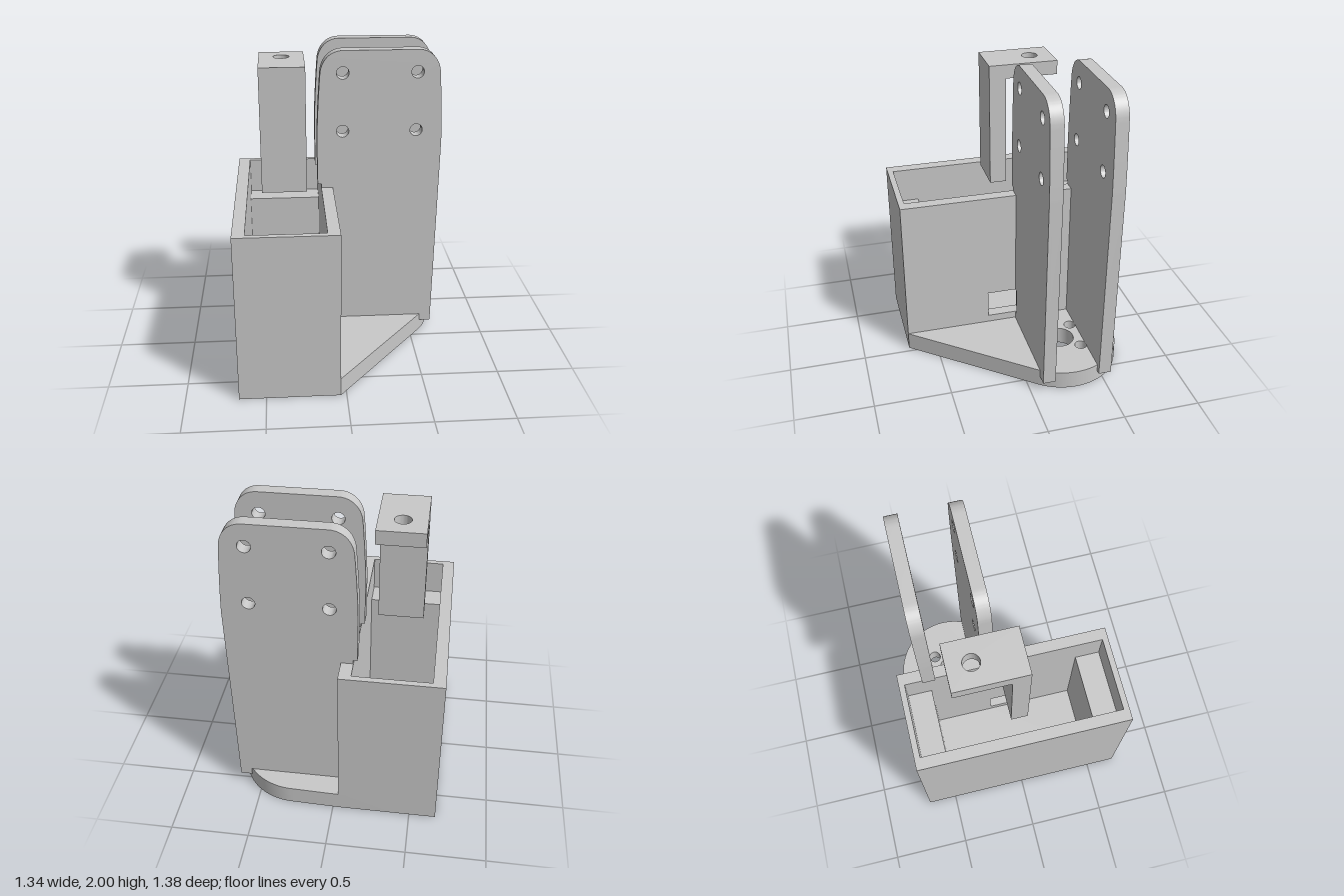
import * as THREE from 'three';
import { toCreasedNormals } from 'three/addons/utils/BufferGeometryUtils.js';

const grey = new THREE.MeshStandardMaterial({ color: 0xc8c8c8 });
grey.name = 'light grey';

const circle = (x, y, r) => new THREE.Path().absarc(x, y, r, 0, Math.PI * 2, false);

const poly = (pts) => new THREE.Shape(pts.map(([x, y]) => new THREE.Vector2(x, y)));

function extrude(shape, depth) {
  const g = new THREE.ExtrudeGeometry(shape, { depth, bevelEnabled: false, curveSegments: 24 });
  return toCreasedNormals(g, 0.5);
}

// Plan shapes are drawn as (x, -z) and rise from y0 to y1
const upright = (shape, y0, y1) => extrude(shape, y1 - y0).rotateX(-Math.PI / 2).translate(0, y0, 0);

// Box given by its limits
const block = (x0, x1, y0, y1, z0, z1) =>
  new THREE.BoxGeometry(x1 - x0, y1 - y0, z1 - z0).translate((x0 + x1) / 2, (y0 + y1) / 2, (z0 + z1) / 2);

// Outline of a tall side plate, optionally notched beside the cable opening
function plateShape(notched) {
  const s = new THREE.Shape();
  s.moveTo(-0.11, 0.12);
  if (notched) {
    s.lineTo(-0.11, 0.17);
    s.lineTo(-0.009, 0.17);
    s.lineTo(-0.009, 0.357);
    s.lineTo(-0.11, 0.357);
  }
  s.lineTo(-0.11, 1.12);
  s.lineTo(-0.135, 1.12);
  s.lineTo(-0.138, 1.4);
  s.quadraticCurveTo(-0.135, 1.6, -0.115, 1.86);
  s.bezierCurveTo(-0.105, 1.94, -0.05, 2, 0.03, 2);
  s.lineTo(0.503, 2);
  s.bezierCurveTo(0.583, 2, 0.638, 1.94, 0.647, 1.86);
  s.quadraticCurveTo(0.666, 1.6, 0.67, 1.4);
  s.lineTo(0.647, 0.072);
  s.lineTo(0.572, 0.072);
  s.lineTo(0.572, 0.12);
  s.closePath();
  for (const x of [0.028, 0.503]) for (const y of [1.478, 1.858]) s.holes.push(circle(x, y, 0.04));
  return s;
}

export function createModel() {
  const model = new THREE.Group();
  model.name = 'mountingBracket';
  const add = (name, geometry) => {
    const mesh = new THREE.Mesh(geometry, grey);
    mesh.name = name;
    model.add(mesh);
  };

  // Base plate with a rounded end, centre bore and four screw holes
  const cx = 0.266, cy = 0.301;
  const base = new THREE.Shape();
  base.moveTo(-0.67, -0.69);
  base.lineTo(-0.036, -0.69);
  base.absarc(cx, cy, 0.38, -0.67, Math.PI / 2, false);
  base.lineTo(-0.036, 0.69);
  base.lineTo(-0.67, 0.69);
  base.closePath();
  base.holes.push(circle(cx, cy, 0.1));
  for (const dx of [-0.118, 0.118]) for (const dy of [-0.118, 0.118]) base.holes.push(circle(cx + dx, cy + dy, 0.04));
  add('basePlate', upright(base, 0, 0.12));

  // Open box: three walls, then the inner wall with its cable opening
  add('boxWalls', upright(poly([
    [-0.67, -0.69], [-0.036, -0.69], [-0.036, -0.652], [-0.593, -0.652],
    [-0.593, 0.652], [-0.036, 0.652], [-0.036, 0.69], [-0.67, 0.69],
  ]), 0.12, 1.095));
  const wall = poly([[-0.652, 0.12], [0.652, 0.12], [0.652, 1.095], [-0.652, 1.095]]);
  wall.holes.push(poly([[-0.12, 0.17], [-0.12, 0.357], [0.1, 0.357], [0.1, 0.17]]));
  add('boxInnerWall', extrude(wall, 0.076).rotateY(Math.PI / 2).translate(-0.112, 0, 0));

  // Support ledges at both ends inside the box
  add('frontLedge', block(-0.593, -0.112, 0.12, 0.86, 0.49, 0.652));
  add('backLedge', block(-0.593, -0.112, 0.12, 0.86, -0.652, -0.493));

  // Side plates; the front one is recessed next to the opening
  add('frontPlateFace', extrude(plateShape(true), 0.025).translate(0, 0, -0.1));
  add('frontPlate', extrude(plateShape(false), 0.058).translate(0, 0, -0.158));
  add('backPlate', extrude(plateShape(false), 0.083).translate(0, 0, -0.538));

  // Angled holder above the box: a post and an arm with a hole
  add('holderPost', block(-0.498, -0.21, 1.12, 1.84, -0.052, 0.055));
  const arm = poly([[-0.498, -0.055], [-0.21, -0.055], [-0.21, 0.39], [-0.498, 0.39]]);
  arm.holes.push(circle(-0.354, 0.247, 0.051));
  add('holderArm', upright(arm, 1.84, 1.93));

  return model;
}
